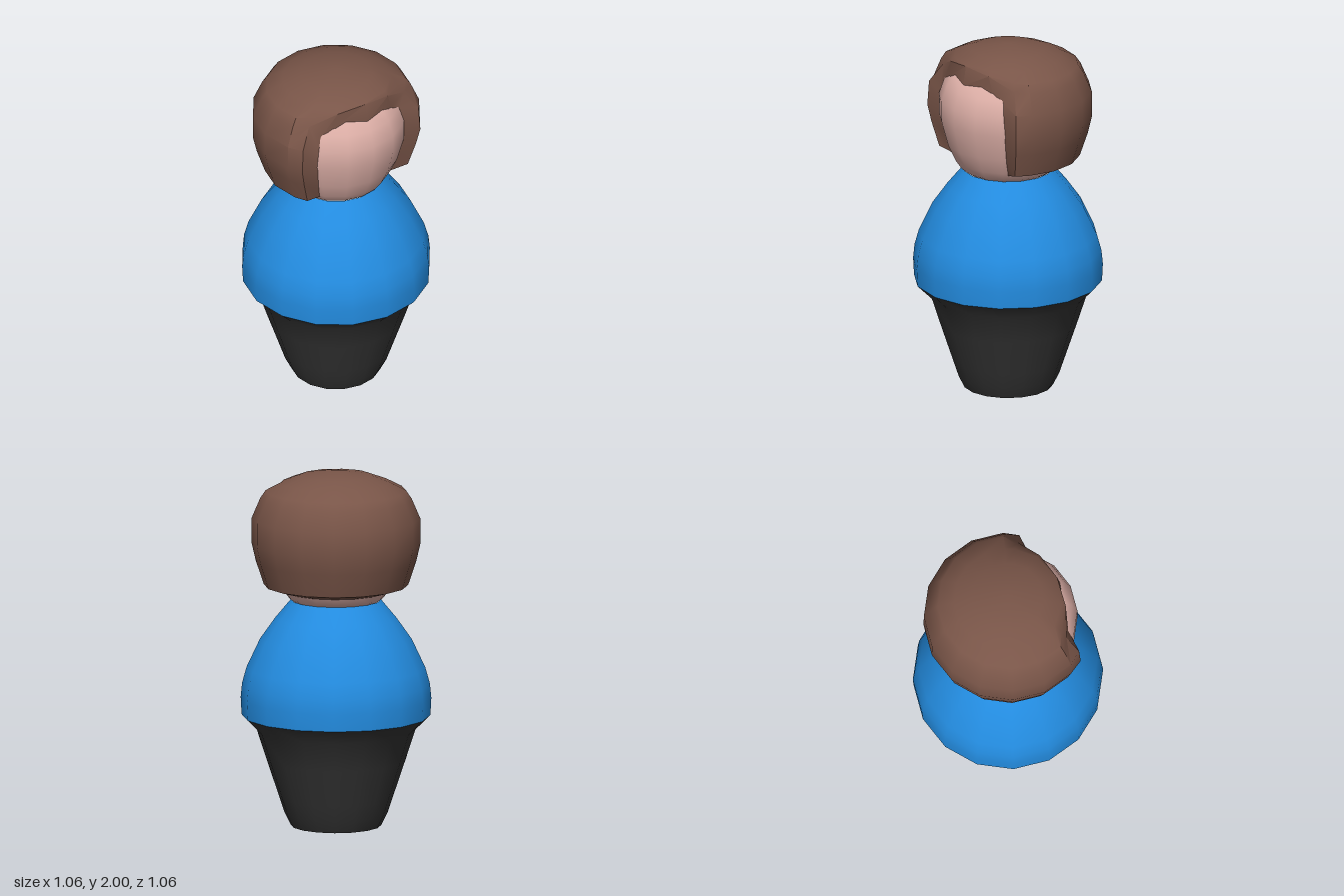
import * as THREE from 'three';
import { mergeGeometries, toCreasedNormals } from 'three/addons/utils/BufferGeometryUtils.js';

const material = (name, color) => {
  const m = new THREE.MeshStandardMaterial({ color });
  m.name = name;
  return m;
};

// Surface through columns of points, each column running top to bottom
function loft(columns) {
  const rows = columns[0].length, index = [];
  for (let j = 0; j < columns.length - 1; j++) {
    for (let i = 0; i < rows - 1; i++) {
      const a = j * rows + i, c = a + rows;
      index.push(a, a + 1, c, a + 1, c + 1, c);
    }
  }
  const g = new THREE.BufferGeometry();
  g.setAttribute('position', new THREE.Float32BufferAttribute(columns.flat(2), 3));
  g.setIndex(index);
  return g;
}

// One vertical line of hair at an angle from the front, cut off at yEnd
function strand(degrees, profile, yEnd = 0) {
  const a = THREE.MathUtils.degToRad(degrees);
  return profile.map(([r, y], i) => {
    if (y < yEnd) {
      const k = profile.findIndex(p => p[1] <= yEnd);
      const [r0, y0] = profile[k - 1], [r1, y1] = profile[k];
      r = r0 + (r1 - r0) * (y0 - yEnd) / (y0 - y1);
      y = yEnd;
    }
    return [r * Math.sin(a), y, r * Math.cos(a)];
  });
}

function hairGeometry() {
  const side = [[0, 2], [0.2, 1.97], [0.3, 1.932], [0.39, 1.885], [0.42, 1.84], [0.467, 1.73],
    [0.468, 1.59], [0.445, 1.49], [0.4, 1.355], [0.28, 1.32]];
  const edgeRadii = [0, 0.2, 0.3, 0.345, 0.375, 0.457, 0.467, 0.442, 0.398, 0.28];
  const edge = side.map(([, y], i) => [edgeRadii[i], y]);
  const open = 56.25;

  // Sides and back
  const shell = [strand(open, edge)];
  for (let d = 67.5; d < 300; d += 22.5) shell.push(strand(d, side));
  shell.push(strand(360 - open, edge));

  // Crown above the forehead
  const front = edge.slice(0, 5);
  const fringe = [[-open, 1.84], [-31, 1.91], [0, 1.93], [31, 1.91], [open, 1.84]]
    .map(([d, y]) => strand(d, front, y));

  // Rim around the face, mirrored left to right
  const outer = [strand(0, front, 1.93)[4], strand(31, front, 1.91)[4], ...strand(open, edge).slice(4, 9)];
  const inner = [[0, 1.82, 0.32], [0.19, 1.815, 0.265], [0.26, 1.77, 0.245], [0.28, 1.69, 0.26],
    [0.28, 1.55, 0.25], [0.26, 1.43, 0.225], [0.22, 1.32, 0.18]];
  const half = outer.map((p, i) => [p, inner[i]]);
  const mirrored = half.slice(1).reverse().map(pair => pair.map(([x, y, z]) => [-x, y, z]));
  const rim = [...mirrored, ...half];

  return toCreasedNormals(mergeGeometries([loft(shell), loft(fringe), loft(rim)]), 0.65);
}

export function createModel() {
  const group = new THREE.Group();
  const blue = material('blue', 0x238ce0);
  const black = material('charcoal', 0x333333);
  const skin = material('skin', 0xdcaea6);
  const brown = material('brown', 0x795548);
  brown.side = THREE.DoubleSide;

  const add = (name, geometry, mat) => {
    const mesh = new THREE.Mesh(geometry, mat);
    mesh.name = name;
    group.add(mesh);
    return mesh;
  };
  const turned = points => new THREE.LatheGeometry(points.map(p => new THREE.Vector2(...p)), 16);

  // Tapered lower body with a flat base
  add('lowerBody', turned([[0.25, 0], [0.285, 0.07], [0.315, 0.16], [0.385, 0.37], [0.44, 0.54], [0.523, 0.622]]), black);
  add('base', new THREE.CircleGeometry(0.25, 16).rotateX(Math.PI / 2), black);

  // Rounded upper body
  add('upperBody', turned([[0.523, 0.622], [0.528, 0.72], [0.52, 0.8], [0.495, 0.89], [0.42, 1.05],
    [0.335, 1.17], [0.25, 1.272]]), blue);

  // Head and hair
  add('head', turned([[0.24, 1.268], [0.265, 1.285], [0.3, 1.335], [0.345, 1.43], [0.385, 1.58], [0.385, 1.69],
    [0.355, 1.78], [0.3, 1.85], [0, 1.9]]), skin);
  add('hair', hairGeometry(), brown);
  return group;
}
